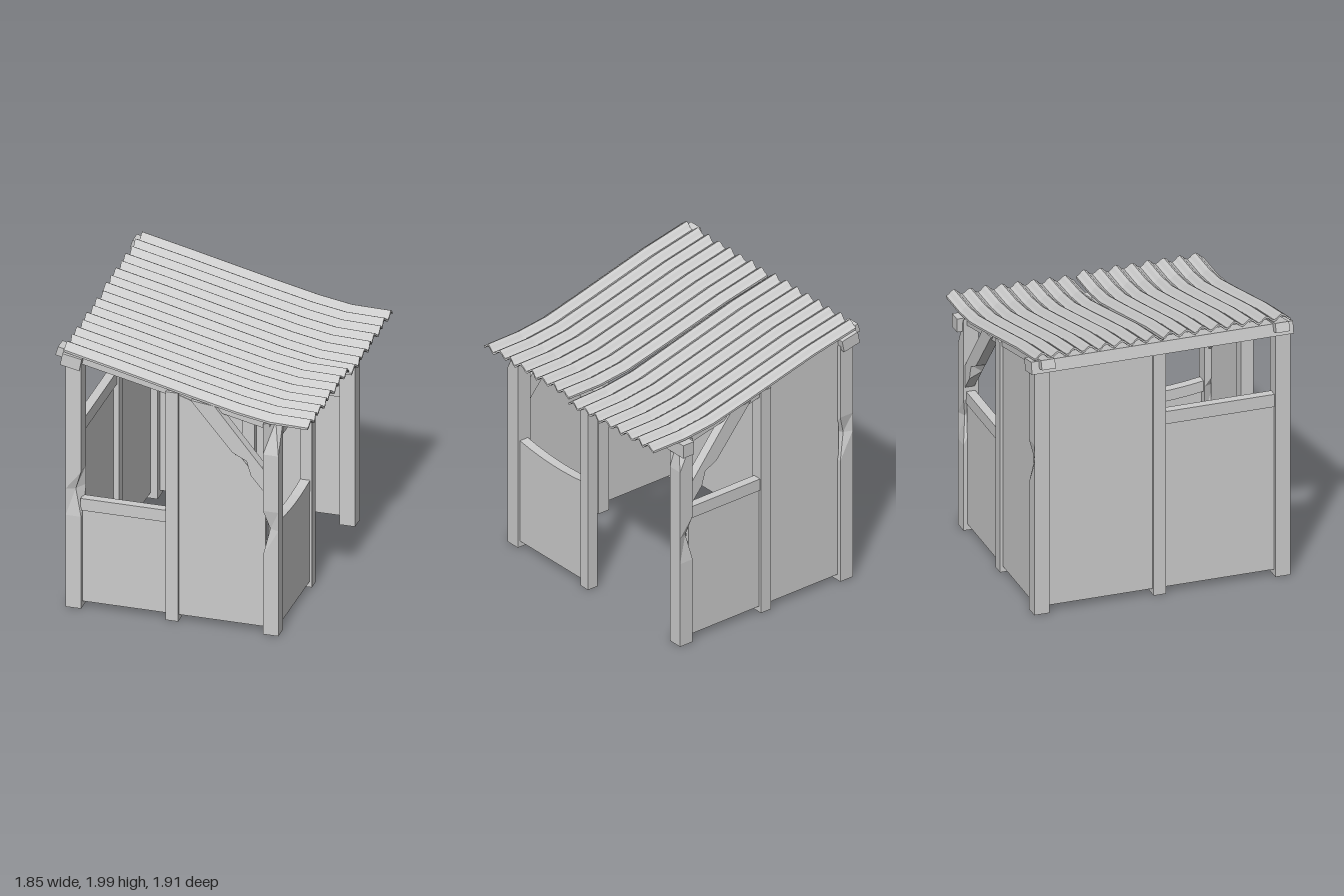
import * as THREE from 'three';

const mat = new THREE.MeshStandardMaterial({ color: 0xcccccc, flatShading: true, side: THREE.DoubleSide });

// Move every vertex of a geometry by a rule.
function warp(geo, rule) {
  const p = geo.attributes.position;
  const v = new THREE.Vector3();
  for (let i = 0; i < p.count; i++) {
    v.fromBufferAttribute(p, i);
    rule(v);
    p.setXYZ(i, v.x, v.y, v.z);
  }
  geo.computeVertexNormals();
  return geo;
}

export function createModel() {
  const model = new THREE.Group();
  model.name = 'shelter';

  function add(name, geo) {
    const mesh = new THREE.Mesh(geo, mat);
    mesh.name = name;
    model.add(mesh);
    return mesh;
  }

  // Box given by its limits on each axis
  function box(name, x0, x1, y0, y1, z0, z1) {
    const geo = new THREE.BoxGeometry(x1 - x0, y1 - y0, z1 - z0);
    geo.translate((x0 + x1) / 2, (y0 + y1) / 2, (z0 + z1) / 2);
    return add(name, geo);
  }

  // Outline in the x-y plane, given a thickness along z
  function slabGeometry(points, z, depth) {
    const shape = new THREE.Shape(points.map(([x, y]) => new THREE.Vector2(x, y)));
    const geo = new THREE.ExtrudeGeometry(shape, { depth, bevelEnabled: false });
    return geo.translate(0, 0, z - depth / 2);
  }

  // Corner post with a chipped inner edge and, if asked, a cut outer corner at the top
  function cornerPost(name, x, z, top, chipY, cutTop) {
    const half = 0.055;
    const rows = [0, chipY - 0.2, chipY, chipY + 0.14, 1.37, top];
    const inX = -Math.sign(x), outZ = Math.sign(z);
    const geo = new THREE.BoxGeometry(2 * half, 1, 2 * half, 1, rows.length - 1, 1);
    add(name, warp(geo, (v) => {
      const row = Math.round((v.y + 0.5) * (rows.length - 1));
      const isInner = v.x * inX > 0, isOuterZ = v.z * outZ > 0;
      if (row === 2 && isInner && isOuterZ) {
        v.x -= inX * 0.045;
        v.z -= outZ * 0.025;
      }
      if (cutTop && row === 5 && !isInner && isOuterZ) {
        v.x += inX * 0.04;
        v.z -= outZ * 0.07;
      }
      v.set(v.x + x, rows[row], v.z + z);
    }));
  }

  // Corner posts
  cornerPost('frontHighPost', -0.785, 0.885, 1.85, 0.9, false);
  cornerPost('backHighPost', -0.785, -0.865, 1.85, 1.15, false);
  cornerPost('frontLowPost', 0.625, 0.885, 1.6, 0.8, true);
  cornerPost('backLowPost', 0.625, -0.865, 1.6, 0.85, true);

  // Posts in the middle of each wall
  box('frontMiddlePost', -0.13, -0.04, 0, 1.74, 0.84, 0.93);
  box('backMiddlePost', -0.13, -0.04, 0, 1.74, -0.91, -0.82);
  box('highSideMiddlePost', -0.83, -0.74, 0, 1.86, -0.05, 0.04);
  box('doorPost', 0.59, 0.675, 0, 1.52, 0.08, 0.16);

  // Front wall: low panel with rail, and a full panel cut under the brace
  box('frontLowPanel', -0.74, -0.12, 0.045, 0.78, 0.88, 0.91);
  box('frontRail', -0.74, -0.12, 0.74, 0.83, 0.855, 0.92);
  add('frontFullPanel', slabGeometry(
    [[-0.05, 0.045], [0.58, 0.045], [0.58, 1.1], [0.1, 1.67], [-0.05, 1.72]], 0.895, 0.03));

  // Back wall: full panel on the high side, low panel with rail on the other
  add('backFullPanel', slabGeometry(
    [[-0.74, 0.045], [-0.12, 0.045], [-0.12, 1.73], [-0.74, 1.86]], -0.875, 0.03));
  box('backLowPanel', -0.05, 0.58, 0.045, 1.0, -0.89, -0.86);
  box('backRail', -0.05, 0.58, 0.96, 1.05, -0.9, -0.835);

  // High side wall
  box('highSideFullPanel', -0.81, -0.78, 0.045, 1.85, -0.82, -0.04);
  box('highSideLowPanel', -0.81, -0.78, 0.045, 1.32, 0.03, 0.84);
  box('highSideRail', -0.82, -0.755, 1.28, 1.375, 0.03, 0.84);

  // Low side wall: panel with a sagging sill beside the open doorway
  const sag = (z) => 0.8 + 0.21 * (z - 0.42) ** 2;
  const sidePanel = new THREE.BoxGeometry(0.03, 1, 0.69, 1, 1, 6);
  add('lowSidePanel', warp(sidePanel, (v) => {
    v.z += 0.495;
    v.x += 0.645;
    v.y = v.y > 0 ? sag(v.z) - 0.01 : 0.045;
  }));
  const sill = new THREE.BoxGeometry(0.07, 0.08, 0.69, 1, 1, 6);
  add('lowSideSill', warp(sill, (v) => {
    v.z += 0.495;
    v.x += 0.627;
    v.y += sag(v.z) - 0.04;
  }));

  // Diagonal braces with a chip on the lower outer edge
  for (const [name, z] of [['frontBrace', 0.895], ['backBrace', -0.875]]) {
    const geo = slabGeometry([
      [0.05, 1.7], [0.35, 1.345], [0.42, 1.262], [0.48, 1.19],
      [0.59, 1.06], [0.59, 1.225], [0.22, 1.68]], z, 0.07);
    add(name, warp(geo, (v) => {
      const outer = (v.z - z) * Math.sign(z) > 0;
      if (outer && Math.hypot(v.x - 0.42, v.y - 1.262) < 0.01) v.set(0.445, 1.31, v.z);
    }));
  }

  // Beams along the two sides
  const highBeam = box('highBeam', -0.07, 0.07, -0.045, 0.045, -0.95, 0.95);
  highBeam.position.set(-0.8, 1.873, 0);
  highBeam.rotation.z = -0.2;
  box('lowBeam', 0.59, 0.685, 1.5, 1.6, -0.96, 0.85);

  // Sloping rafters along front and back
  for (const [name, z] of [['frontRafter', 0.855], ['backRafter', -0.845]]) {
    add(name, slabGeometry(
      [[-0.925, 1.89], [0.6, 1.545], [0.62, 1.605], [0.1, 1.71], [-0.905, 1.955]], z, 0.1));
  }

  // Corrugated roof sheets sagging towards the low side
  const sagLine = [[-0.87, 1.965], [-0.5, 1.885], [0.08, 1.745], [0.4, 1.672], [0.64, 1.638], [0.92, 1.635]];
  const waves = 8, steps = 6;
  function roofSheet(name, x0, x1, z0, z1, dip) {
    const geo = new THREE.BoxGeometry(1, 0.016, 1, sagLine.length - 1, 1, waves * steps);
    add(name, warp(geo, (v) => {
      const column = Math.round((v.x + 0.5) * (sagLine.length - 1));
      const t = v.z + 0.5;
      const [lineX, lineY] = sagLine[column];
      const k = (lineX + 0.87) / 1.79;
      v.x = x0 + k * (x1 - x0) + 0.006 * Math.sin(t * 23);
      v.z = z0 + t * (z1 - z0) + 0.006 * Math.sin(column * 1.7);
      v.y += lineY - 0.02 * Math.cos(t * waves * 2 * Math.PI) - dip * t * k * k;
    }));
  }
  roofSheet('backRoofSheet', -0.865, 0.915, -0.925, -0.002, 0.03);
  roofSheet('frontRoofSheet', -0.85, 0.895, 0.012, 0.935, 0.005);

  return model;
}
